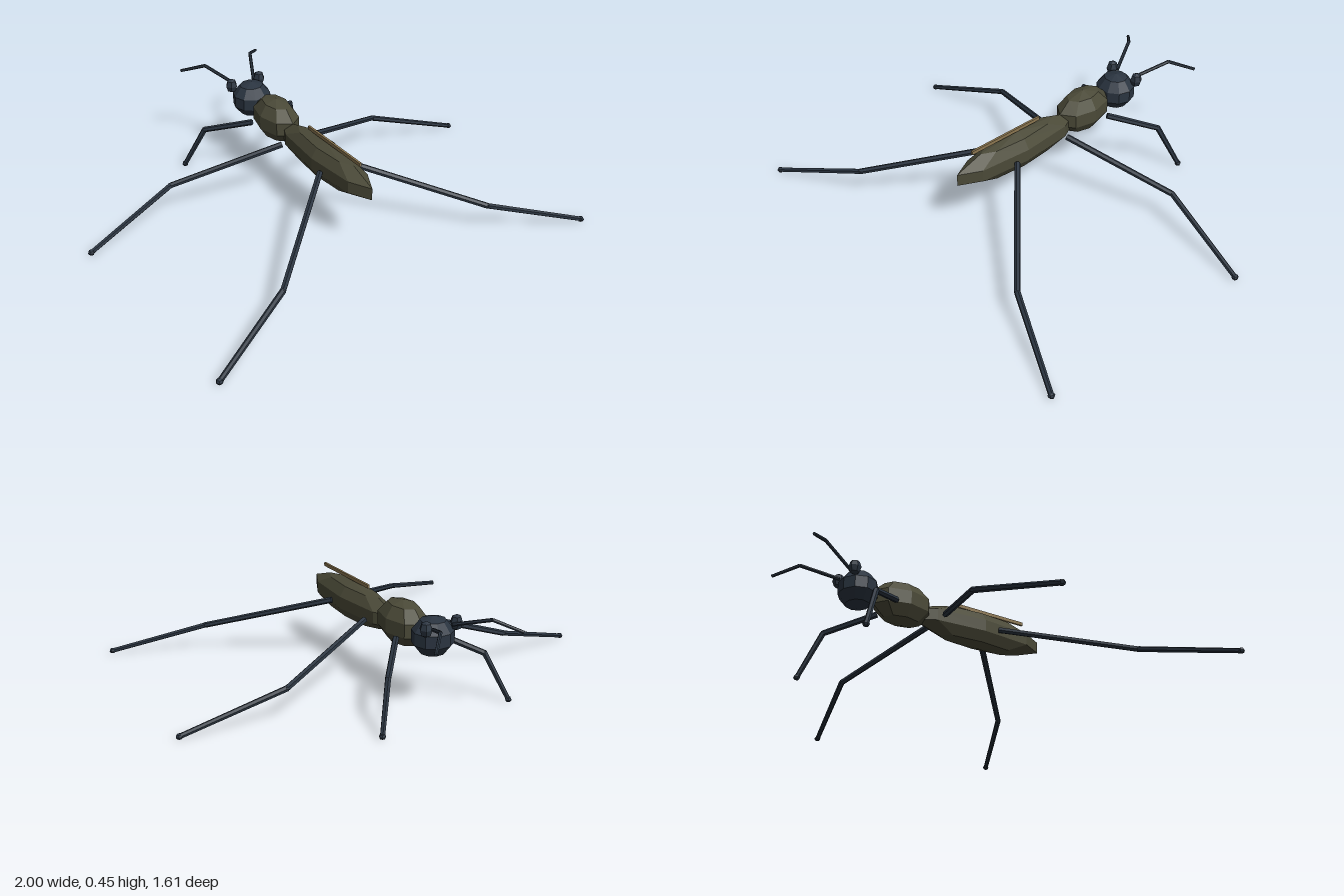
import * as THREE from 'three';

export function createModel() {
  const model = new THREE.Group();
  model.name = 'insect';

  const paint = (name, color) => {
    const m = new THREE.MeshStandardMaterial({ color, flatShading: true });
    m.name = name;
    return m;
  };
  const olive = paint('olive shell', 0x4b4a38);
  const slate = paint('dark slate', 0x2a3440);
  const tan = paint('tan wing seam', 0x8b7650);

  const add = (parent, name, geometry, material, position) => {
    const mesh = new THREE.Mesh(geometry, material);
    mesh.name = name;
    mesh.position.set(...position);
    parent.add(mesh);
    return mesh;
  };

  // Faceted ellipsoid with its poles up and down
  const ellipsoid = (parent, name, material, position, radii, sides, rows) =>
    add(parent, name, new THREE.SphereGeometry(1, sides, rows).scale(...radii), material, position);

  // Straight rod between two points
  const rod = (parent, name, a, b, r0, r1) => {
    const from = new THREE.Vector3(...a);
    const dir = new THREE.Vector3(...b).sub(from);
    const mesh = add(parent, name, new THREE.CylinderGeometry(r1, r0, dir.length(), 6), slate,
      from.clone().addScaledVector(dir, 0.5).toArray());
    mesh.quaternion.setFromUnitVectors(new THREE.Vector3(0, 1, 0), dir.normalize());
  };

  // Body
  ellipsoid(model, 'abdomen', olive, [0, 0.297, 0.12], [0.075, 0.088, 0.357], 8, 5);
  ellipsoid(model, 'thorax', olive, [0, 0.322, -0.275], [0.09, 0.1, 0.15], 8, 5);
  ellipsoid(model, 'head', slate, [0, 0.332, -0.491], [0.094, 0.086, 0.09], 10, 5);
  add(model, 'wingSeam', new THREE.BoxGeometry(0.01, 0.016, 0.38), tan, [0, 0.397, 0.185]);

  // Root, knee and foot of each left leg
  const legs = {
    front: [[0.085, 0.29, -0.35], [0.24, 0.215, -0.53], [0.315, 0.015, -0.607]],
    middle: [[0.08, 0.29, -0.1], [0.555, 0.15, -0.275], [0.985, 0.015, -0.185]],
    hind: [[0.075, 0.29, 0.19], [0.525, 0.125, 0.6], [0.917, 0.015, 0.79]],
  };
  const antenna = [[0.05, 0.39, -0.555], [0.125, 0.445, -0.71], [0.21, 0.405, -0.8]];

  for (const [side, s] of [['left', 1], ['right', -1]]) {
    const flip = ([x, y, z]) => [x * s, y, z];

    for (const [pair, points] of Object.entries(legs)) {
      const [root, knee, foot] = points.map(flip);
      const leg = new THREE.Group();
      leg.name = `${side} ${pair} leg`;
      model.add(leg);
      rod(leg, 'thigh', root, knee, 0.014, 0.013);
      rod(leg, 'shin', knee, foot, 0.013, 0.011);
      ellipsoid(leg, 'knee', slate, knee, [0.013, 0.013, 0.013], 6, 4);
      ellipsoid(leg, 'foot', slate, foot, [0.015, 0.013, 0.015], 6, 4);
    }

    // Eye and feeler
    ellipsoid(model, `${side} eye`, slate, flip([0.075, 0.393, -0.547]), [0.028, 0.035, 0.028], 6, 4);
    const [base, bend, tip] = antenna.map(flip);
    const feeler = new THREE.Group();
    feeler.name = `${side} antenna`;
    model.add(feeler);
    rod(feeler, 'antennaBase', base, bend, 0.008, 0.008);
    rod(feeler, 'antennaTip', bend, tip, 0.008, 0.007);
  }

  return model;
}
